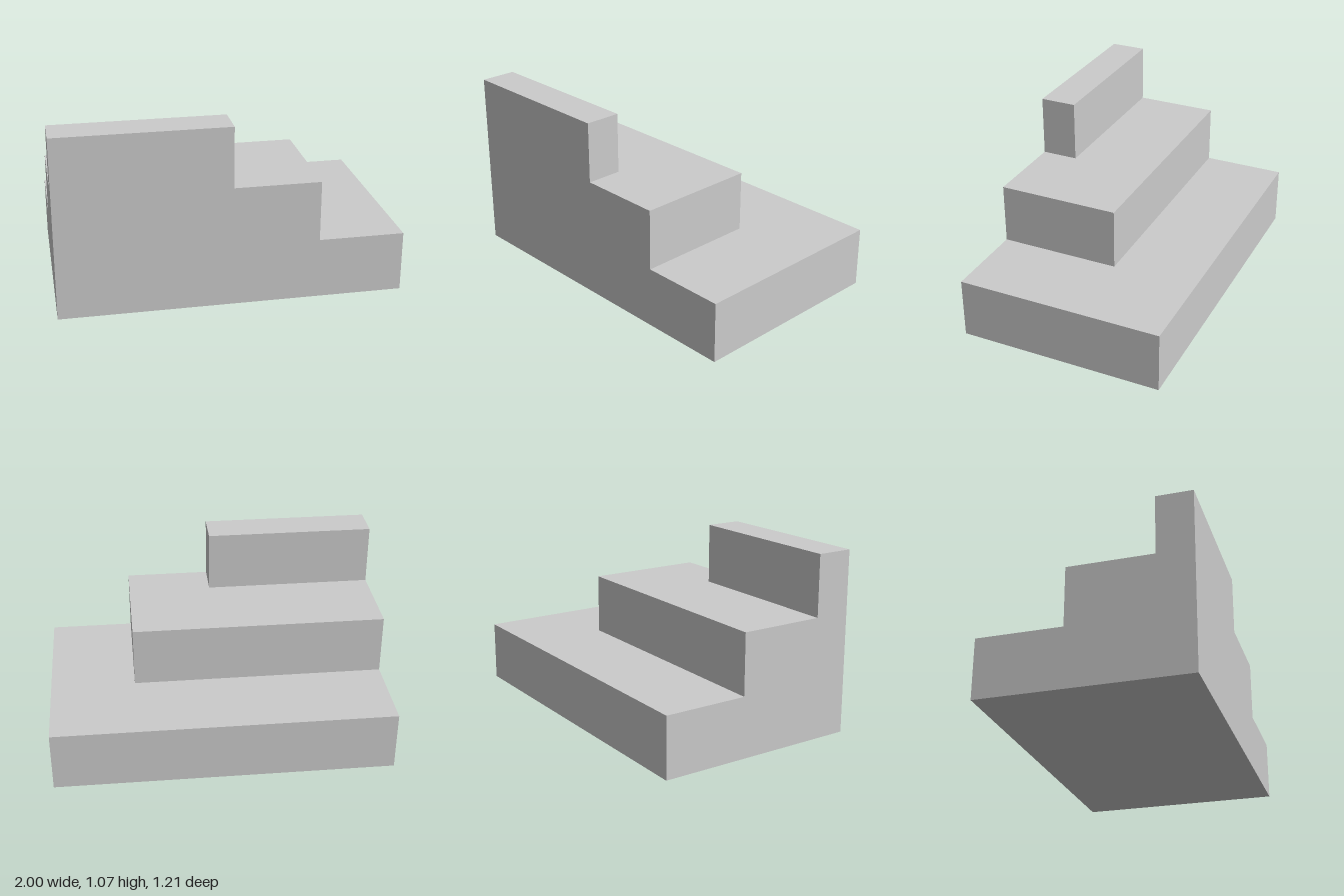
import * as THREE from 'three';
import { mergeGeometries } from 'three/addons/utils/BufferGeometryUtils.js';

const H = 0.357, LEFT = -1, FRONT = 0.607;
// Each step: its x end and its back z; all share the corner at LEFT, FRONT
const steps = [
  { x: 1, z: -0.607 },
  { x: 0.5, z: -0.107 },
  { x: 0, z: 0.393 },
];

// Flat polygon facing +z
const plate = (points) =>
  new THREE.ShapeGeometry(new THREE.Shape(points.map(([x, y]) => new THREE.Vector2(x, y))));
const rect = (x0, y0, x1, y1) => plate([[x0, y0], [x1, y0], [x1, y1], [x0, y1]]);

// Stair outline: run from the tall edge at "wall", stepping down to the ends
const profile = (wall, ends) => {
  const points = [[wall, 0], [ends[0], 0]];
  ends.forEach((end, i) => {
    points.push([end, (i + 1) * H]);
    points.push([i < ends.length - 1 ? ends[i + 1] : wall, (i + 1) * H]);
  });
  return plate(points);
};

export function createModel() {
  const faces = [
    // Stepped front wall, stepped side wall and base
    profile(LEFT, steps.map((s) => s.x)).translate(0, 0, FRONT),
    profile(FRONT, steps.map((s) => s.z)).rotateY(-Math.PI / 2).translate(LEFT, 0, 0),
    rect(LEFT, steps[0].z, steps[0].x, FRONT).rotateX(Math.PI / 2),
  ];

  steps.forEach(({ x, z }, i) => {
    const y = i * H;
    const next = steps[i + 1];
    // Risers at the back and at the end of the step
    faces.push(rect(-x, y, -LEFT, y + H).rotateY(Math.PI).translate(0, 0, z));
    faces.push(rect(-FRONT, y, -z, y + H).rotateY(Math.PI / 2).translate(x, 0, 0));
    // Tread: L-shaped around the next step, plain on the top one
    const tread = next
      ? plate([[LEFT, -z], [LEFT, -next.z], [next.x, -next.z], [next.x, -FRONT], [x, -FRONT], [x, -z]])
      : rect(LEFT, -FRONT, x, -z);
    faces.push(tread.rotateX(-Math.PI / 2).translate(0, y + H, 0));
  });

  const block = new THREE.Mesh(
    mergeGeometries(faces),
    new THREE.MeshStandardMaterial({ color: 0xcccccc, flatShading: true })
  );
  block.name = 'steppedBlock';

  const group = new THREE.Group();
  group.name = 'cornerSteps';
  group.add(block);
  return group;
}
